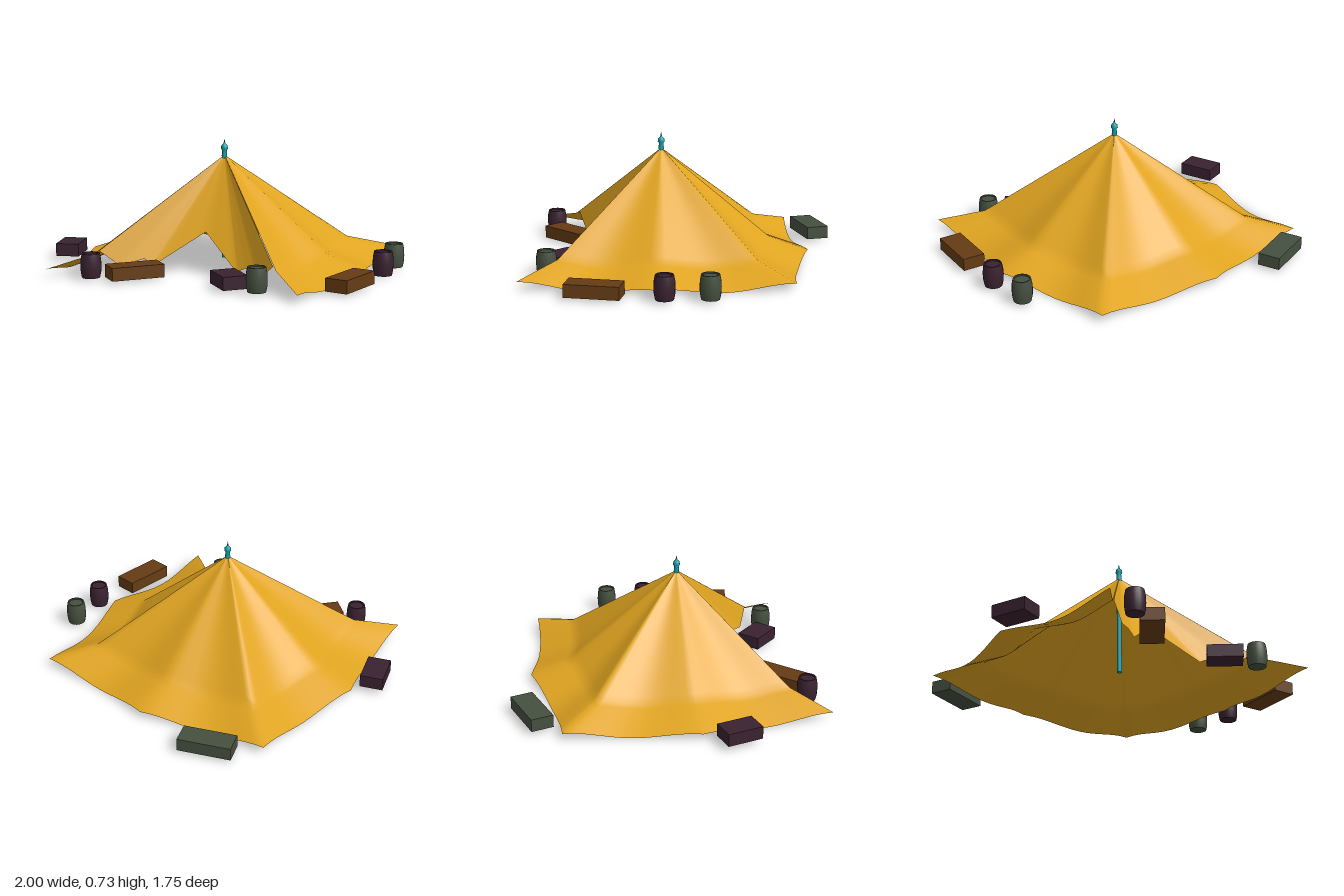
import * as THREE from 'three';

const APEX = new THREE.Vector3(0, 0.645, 0.12);
const mat = (color, side = THREE.FrontSide) => new THREE.MeshStandardMaterial({ color, side });

// Cloth spread from the apex: point(u, t) with u along the hem and t from apex to hem.
function cloth(cols, rows, point) {
  const pos = [], index = [];
  for (let i = 0; i <= cols; i++) {
    for (let j = 0; j <= rows; j++) pos.push(...point(i / cols, j / rows).toArray());
  }
  for (let i = 0; i < cols; i++) {
    for (let j = 0; j < rows; j++) {
      const a = i * (rows + 1) + j, b = a + rows + 1;
      index.push(a, a + 1, b + 1);
      if (j > 0) index.push(a, b + 1, b);
    }
  }
  const g = new THREE.BufferGeometry();
  g.setAttribute('position', new THREE.Float32BufferAttribute(pos, 3));
  g.setIndex(index);
  g.computeVertexNormals();
  return g;
}

// Three full sides: hem runs corner - pulled out middle - corner, sagging in between.
function canopyPoint(u, t) {
  const k = Math.min(5, Math.floor(u * 6));      // half panel number
  const f = u * 6 - k;
  const v = k % 2 ? 1 - f : f;                   // 0 at the corner, 1 at the middle
  const out = 0.75 + 0.105 * v - 0.12 * v * (1 - v);
  const along = 0.75 * (1 - v) * (k % 2 ? -1 : 1);
  const side = Math.floor(k / 2);                // +x, back, -x
  const [x, z] = [[out, along], [along, -out], [-out, -along]][side];
  const slope = 0.645 - 0.713 * Math.min(t, 0.73);
  const flare = Math.max(0, t - 0.73) / 0.27;
  const hem = 0.055 - 0.012 * v;
  const y = THREE.MathUtils.lerp(slope, hem, flare) - 0.042 * t * Math.sin(Math.PI * v) ** 2;
  return new THREE.Vector3(x * t, y, z * t + APEX.z);
}

// Front flap: raised in the middle, with a ragged lower edge up to the corner ridges.
const half = [[0.525, 0.141, 0.65], [0.42, 0.055, 0.6], [0.31, 0.09, 0.525], [0.25, 0.06, 0.51], [0, 0.24, 0.37]];
const flapEdge = [
  ...half.map(([x, y, z]) => new THREE.Vector3(-x, y, z)),
  ...half.slice(0, -1).reverse().map((p) => new THREE.Vector3(...p)),
];
function flapPoint(u, t) {
  const s = u * (flapEdge.length - 1);
  const i = Math.min(flapEdge.length - 2, Math.floor(s));
  const edge = flapEdge[i].clone().lerp(flapEdge[i + 1], s - i);
  return APEX.clone().lerp(edge, t);
}

export function createModel() {
  const group = new THREE.Group();
  const add = (name, geometry, material, x = 0, y = 0, z = 0, turn = 0) => {
    const mesh = new THREE.Mesh(geometry, material);
    mesh.name = name;
    mesh.position.set(x, y, z);
    mesh.rotation.y = turn;
    group.add(mesh);
  };
  const lathe = (points, n) => new THREE.LatheGeometry(points.map((p) => new THREE.Vector2(...p)), n);

  const canvas = mat(0xe0a420, THREE.DoubleSide);
  const teal = mat(0x10a0a8), green = mat(0x455040), maroon = mat(0x3a2230), brown = mat(0x653c14);

  // Tent cloth
  add('canopy', cloth(72, 26, canopyPoint), canvas);
  add('frontFlap', cloth(32, 16, flapPoint), canvas);

  // Centre pole and finial
  add('pole', new THREE.CylinderGeometry(0.014, 0.014, 0.6, 10), teal, 0, 0.35, APEX.z);
  add('finial', lathe([[0.016, 0], [0.013, 0.035], [0.02, 0.042], [0.018, 0.06], [0.006, 0.072], [0.004, 0.08], [0, 0.1]], 10),
    teal, 0, 0.638, APEX.z);

  // Crates: material, width, depth, x, bottom, z, turn
  for (const [m, w, d, x, y, z, turn] of [
    [green, 0.303, 0.13, -0.48, 0.022, -0.77, 0.305],
    [maroon, 0.134, 0.208, -0.904, 0.036, 0.31, 0.284],
    [brown, 0.3, 0.132, -0.283, 0.02, 0.684, 0.82],
    [maroon, 0.2, 0.14, 0.28, 0.02, 0.674, -0.78],
    [brown, 0.13, 0.304, 0.882, 0.02, 0.444, -0.165],
  ]) add('crate', new THREE.BoxGeometry(w, 0.073, d), m, x, y + 0.0365, z, turn);

  // Barrels with bulging staves and a sunken lid
  const barrel = lathe([[0, 0], [0.05, 0], [0.05, 0], [0.056, 0.03], [0.058, 0.067], [0.056, 0.104], [0.05, 0.135],
    [0.05, 0.135], [0.042, 0.135], [0.042, 0.135], [0.042, 0.127], [0.042, 0.127], [0, 0.127]], 20);
  for (const [m, x, z] of [
    [maroon, -0.5, 0.785], [green, 0.47, 0.74], [maroon, 0.94, 0.07], [green, 0.925, -0.17],
  ]) add('barrel', barrel, m, x, 0.02, z);

  return group;
}
